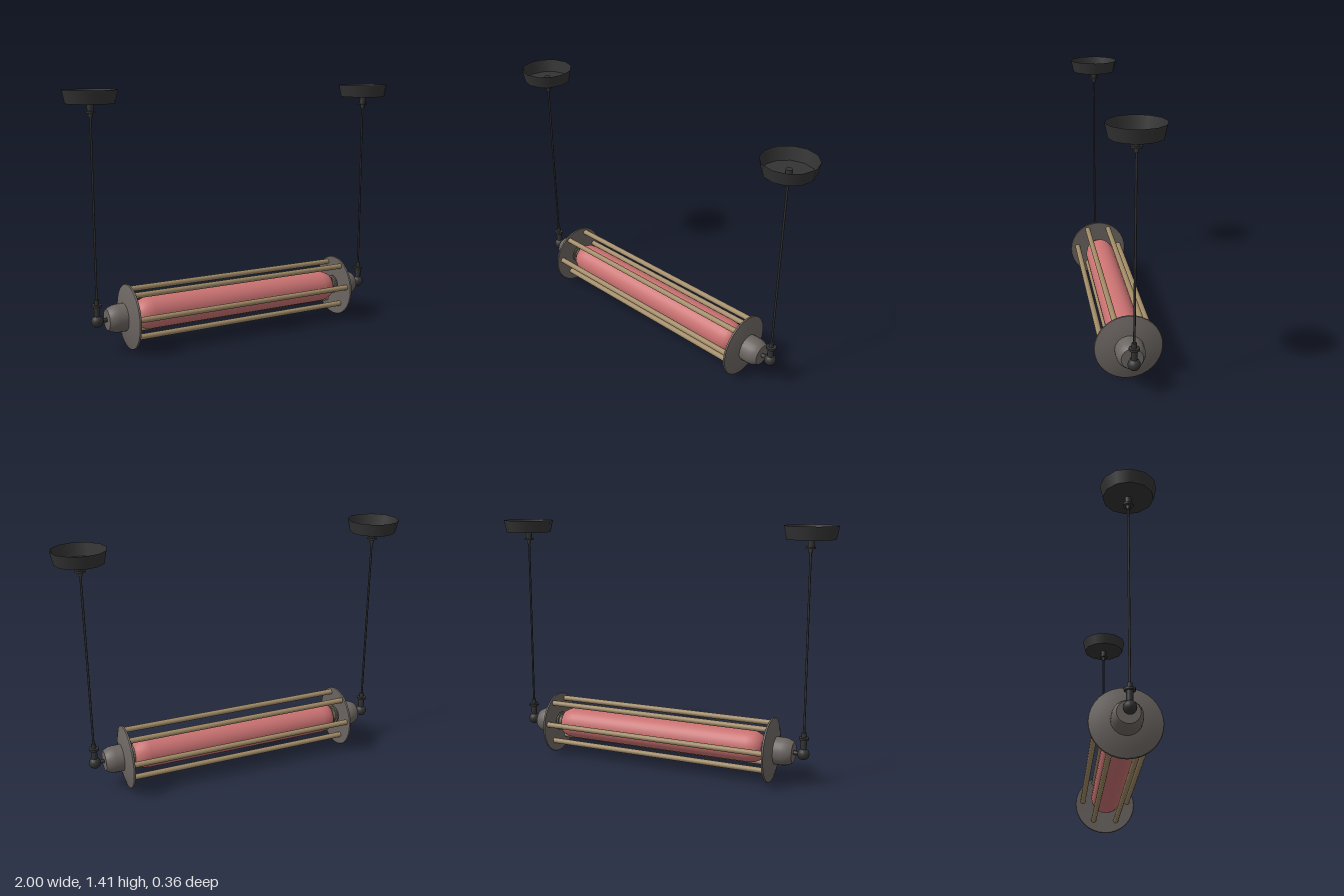
import * as THREE from 'three';

const mat = (name, color, side = THREE.FrontSide) => {
  const m = new THREE.MeshStandardMaterial({ color, side });
  m.name = name;
  return m;
};

export function createModel() {
  const black = mat('black metal', 0x333333, THREE.DoubleSide);
  const steel = mat('grey steel', 0x6b6561, THREE.DoubleSide);
  const brass = mat('aged brass', 0xa08a66);
  const socketMat = mat('socket metal', 0x6a6656);
  const glass = mat('pink glass', 0xcb7272);

  const root = new THREE.Group();
  root.name = 'pendantLamp';

  const add = (parent, name, geometry, material, x = 0, y = 0, z = 0) => {
    const mesh = new THREE.Mesh(geometry, material);
    mesh.name = name;
    mesh.position.set(x, y, z);
    parent.add(mesh);
    return mesh;
  };
  // Profile points are [radius, height]; a repeated point gives a sharp edge.
  const lathe = (points, sides) =>
    new THREE.LatheGeometry(points.map(([r, h]) => new THREE.Vector2(r, h)), sides);
  const rod = (r, length, sides = 12) => new THREE.CylinderGeometry(r, r, length, sides);
  const alongX = (mesh) => { mesh.rotation.z = -Math.PI / 2; return mesh; };

  // Long glass bulb with rounded ends
  const bulb = [[0, -0.64], [0.045, -0.635], [0.07, -0.62], [0.085, -0.59], [0.09, -0.55]];
  const bulbProfile = [...bulb, ...bulb.map(([r, h]) => [r, -h]).reverse()];
  alongX(add(root, 'bulb', lathe(bulbProfile, 32), glass, 0, 0.19));

  // Cage of six rods
  const cage = new THREE.Group();
  cage.name = 'cage';
  root.add(cage);
  for (let i = 0; i < 6; i++) {
    const a = (i * Math.PI) / 3;
    alongX(add(cage, 'cageRod', rod(0.016, 1.36), brass,
      0, 0.2 + 0.136 * Math.sin(a), 0.136 * Math.cos(a)));
  }

  // One end assembly, built on +x and turned round for the other side
  const buildEnd = (name) => {
    const end = new THREE.Group();
    end.name = name;
    root.add(end);

    // Ribbed bulb socket
    alongX(add(end, 'socket', rod(0.042, 0.08, 20), socketMat, 0.655, 0.19));
    for (const [x, r] of [[0.637, 0.05], [0.658, 0.056]]) {
      alongX(add(end, 'socketRib', rod(r, 0.009, 20), socketMat, x, 0.19));
    }

    // Dished end plate
    alongX(add(end, 'endPlate', lathe([
      [0, 0.674], [0.178, 0.67], [0.178, 0.67], [0.181, 0.675], [0.178, 0.68], [0.178, 0.68],
      [0.14, 0.691], [0.1, 0.7], [0.05, 0.707], [0, 0.708],
    ], 32), steel, 0, 0.183));

    // Rounded cup outside the plate
    alongX(add(end, 'endCup', lathe([
      [0.077, 0.69], [0.077, 0.745], [0.074, 0.768], [0.066, 0.788], [0.057, 0.802],
      [0.057, 0.802], [0, 0.802],
    ], 24), steel, 0, 0.185));

    // Swivel joint
    alongX(add(end, 'swivelArm', rod(0.012, 0.07), black, 0.825, 0.185));
    add(end, 'swivelBall', new THREE.SphereGeometry(0.033, 16, 12), black, 0.855, 0.185);
    add(end, 'lowerStem', rod(0.017, 0.08), black, 0.855, 0.226);
    add(end, 'lowerCollar', rod(0.028, 0.012), black, 0.855, 0.272);
    add(end, 'lowerNeck', rod(0.013, 0.045), black, 0.855, 0.283);

    // Hanging rod and upper fitting
    add(end, 'hangingRod', rod(0.006, 1.02, 8), black, 0.855, 0.79);
    add(end, 'upperNeck', rod(0.012, 0.04), black, 0.855, 1.29);
    add(end, 'upperCollar', rod(0.027, 0.01), black, 0.855, 1.297);
    add(end, 'upperStem', rod(0.017, 0.06), black, 0.855, 1.33);

    // Open ceiling cup
    add(end, 'canopy', lathe([
      [0, 1.34], [0.13, 1.34], [0.13, 1.34], [0.145, 1.41],
    ], 12), black, 0.855);
    return end;
  };
  buildEnd('leftEnd');
  buildEnd('rightEnd').rotation.y = Math.PI;

  return root;
}
